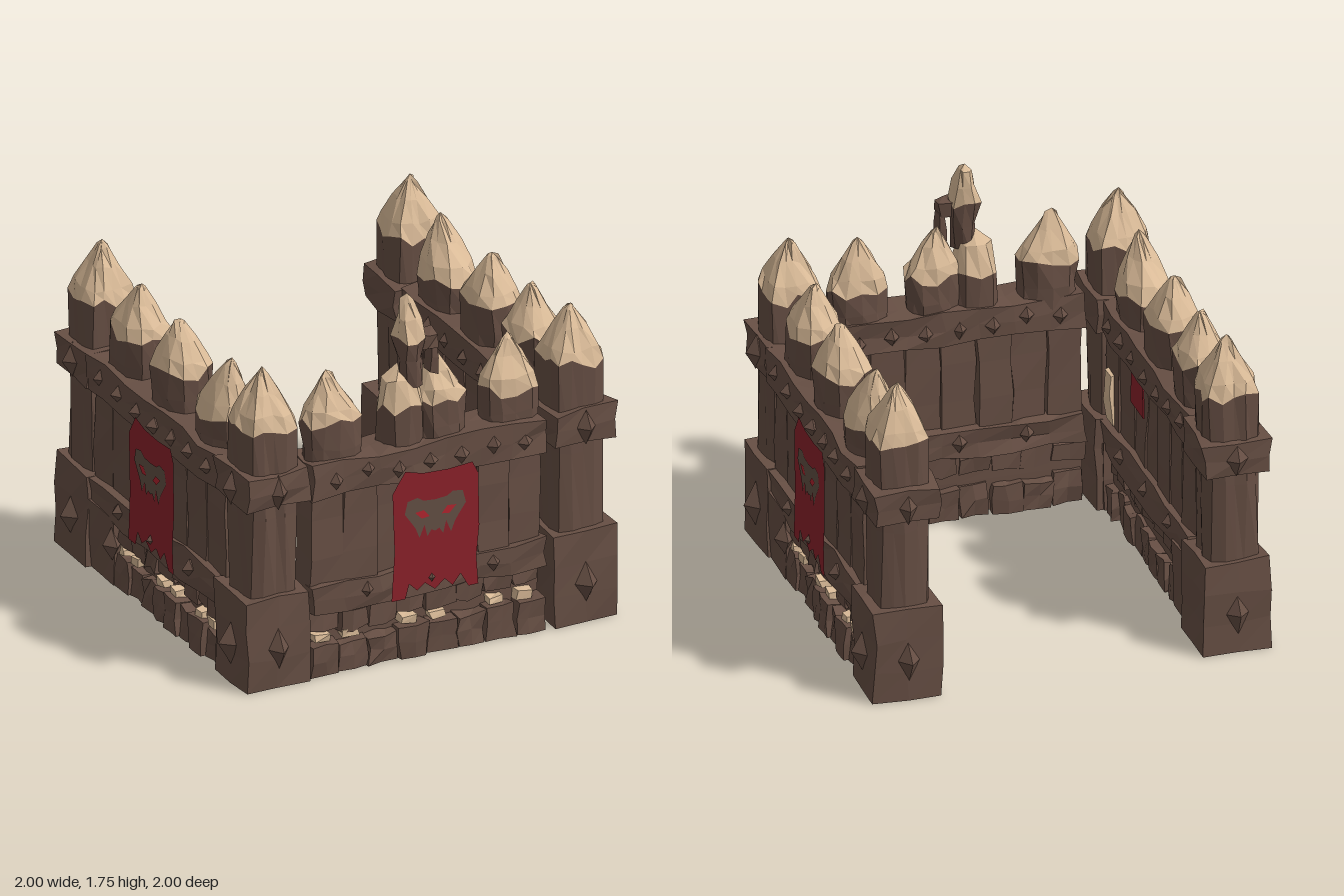
import * as THREE from 'three';

const mat = (name, color, side = THREE.FrontSide) => {
  const m = new THREE.MeshStandardMaterial({ color, side });
  m.name = name;
  return m;
};

// Repeatable noise in -1..1 that depends only on a position, so shared corners stay joined
const noise = (x, y, z, k) => {
  const r = (v) => Math.round(v * 500 + 0.137) / 10;
  const s = Math.sin(r(x) * 12.99 + r(y) * 78.23 + r(z) * 37.72 + k * 19.19) * 43758.5453;
  return (s - Math.floor(s)) * 2 - 1;
};

// Hand-hewn look: nudge every vertex, then split faces for flat facets
function hew(geo, amount) {
  const p = geo.attributes.position;
  for (let i = 0; i < p.count; i++) {
    const [x, y, z] = [p.getX(i), p.getY(i), p.getZ(i)];
    p.setXYZ(i, x + noise(x, y, z, 1) * amount,
      y < 0.001 ? 0 : y + noise(x, y, z, 2) * amount, z + noise(x, y, z, 3) * amount);
  }
  const flat = geo.index ? geo.toNonIndexed() : geo;
  flat.computeVertexNormals();
  return flat;
}

export function createModel() {
  const wood = mat('dark wood', 0x674f44);
  const pale = mat('pale cut wood', 0xdabb98);
  const cloth = mat('red cloth', 0x8a212a, THREE.DoubleSide);
  const emblem = mat('emblem brown', 0x624f43, THREE.DoubleSide);
  const eyeRed = mat('eye red', 0xb0242e, THREE.DoubleSide);
  const model = new THREE.Group();
  model.name = 'palisade';

  const add = (parent, name, geo, material) => {
    const mesh = new THREE.Mesh(geo, material);
    mesh.name = name;
    parent.add(mesh);
    return mesh;
  };

  // Rough block given by its limits
  function block(parent, name, [x0, x1], [y0, y1], [z0, z1], amount = 0.01, segs = [2, 2, 2], material = wood) {
    const geo = new THREE.BoxGeometry(x1 - x0, y1 - y0, z1 - z0, ...segs);
    geo.translate((x0 + x1) / 2, (y0 + y1) / 2, (z0 + z1) / 2);
    add(parent, name, hew(geo, amount), material);
  }

  // Four-sided stud, half buried in a face; axis is the way it points
  function stud(parent, x, y, z, w, h, d, axis = 'z') {
    const geo = new THREE.OctahedronGeometry(1);
    if (axis === 'x') geo.scale(d, h, w);
    else geo.scale(w, h, d);
    geo.translate(x, y, z);
    add(parent, 'stud', hew(geo, 0.004), wood);
  }

  // Ringed stack: profile of [height, radius], squared off by power
  function stack(parent, name, profile, o, material) {
    const geo = new THREE.LatheGeometry(profile.map(([y, r]) => new THREE.Vector2(r, y)), o.sides || 12);
    const p = geo.attributes.position;
    const pw = o.power || 2.6;
    for (let i = 0; i < p.count; i++) {
      const [x, z] = [p.getX(i), p.getZ(i)];
      let y = p.getY(i);
      const r = Math.hypot(x, z);
      // the tip has no radius, so it needs no squaring
      const k = r < 1e-5 ? 1 : 1 / (Math.abs(x / r) ** pw + Math.abs(z / r) ** pw) ** (1 / pw);
      const t = Math.max(0, (y - o.cut) / (o.top - o.cut));
      if (Math.abs(y - o.cut) < 1e-4) y += 0.03 * noise(x, 0, z, o.x * 7 + o.z);
      p.setXYZ(i, o.x + x * k * o.rx + (o.leanX || 0) * t, y, o.z + z * k * o.rz + (o.leanZ || 0) * t);
    }
    add(parent, name, hew(geo, 0.009), material);
  }

  // Log with a pale sharpened end
  function stake(parent, name, o) {
    const h = o.top - o.cut;
    const mid = (o.base + o.cut) / 2;
    stack(parent, name, [[o.base, 0.97], [mid, 0.98], [o.cut, 1]], o, wood);
    stack(parent, name + 'Point', [[o.cut, 1], [o.cut + h * 0.25, 0.86], [o.cut + h * 0.6, 0.5],
      [o.cut + h * 0.9, 0.17], [o.top, 0]], o, pale);
  }

  const shapeOf = (pts) => new THREE.Shape(pts.map(([x, y]) => new THREE.Vector2(x, y)));
  const mirrored = (pts) => [...pts, ...pts.slice().reverse().filter(([x]) => x > 0).map(([x, y]) => [-x, y])];

  // Torn banner with a tusked mask
  function banner(parent, x) {
    const g = new THREE.Group();
    g.name = 'banner';
    g.position.set(x, 0, 0.945);
    parent.add(g);
    const edge = [[-0.22, 0.31], [-0.15, 0.31], [-0.13, 0.38], [-0.09, 0.34], [-0.05, 0.37], [0, 0.33],
      [0.05, 0.37], [0.09, 0.33], [0.13, 0.38], [0.17, 0.31], [0.22, 0.31], [0.21, 0.45], [0.225, 0.6],
      [0.22, 0.86], [0.19, 0.92], [0.07, 0.91], [-0.06, 0.915], [-0.15, 0.94], [-0.19, 0.88],
      [-0.215, 0.84], [-0.205, 0.55]];
    add(g, 'bannerCloth', new THREE.ShapeGeometry(shapeOf(edge)), cloth);
    const mask = mirrored([[0, 0.775], [0.06, 0.78], [0.09, 0.80], [0.14, 0.79], [0.155, 0.73], [0.12, 0.68],
      [0.10, 0.65], [0.08, 0.60], [0.055, 0.66], [0.04, 0.60], [0.02, 0.63], [0, 0.62]]);
    add(g, 'mask', new THREE.ShapeGeometry(shapeOf(mask)), emblem).position.z = 0.004;
    for (const s of [-1, 1]) {
      const eye = shapeOf([[s * 0.03, 0.70], [s * 0.07, 0.695], [s * 0.105, 0.73], [s * 0.06, 0.735]]);
      add(g, 'eye', new THREE.ShapeGeometry(eye), eyeRed).position.z = 0.008;
    }
  }

  // One wall, running along x and facing +z
  function wall(name, x0, x1, zin, recess0, recess1, turn) {
    const g = new THREE.Group();
    g.name = name;
    g.rotation.y = turn;
    model.add(g);
    const len = x1 - x0;
    block(g, 'topBeam', [x0, x1], [0.89, 1.05], [zin, 0.93], 0.014, [7, 2, 2]);
    block(g, 'lowerBeam', [x0, x1], [0.31, 0.45], [zin, 0.925], 0.014, [7, 2, 2]);
    // upright planks of uneven depth
    for (let i = 0; i < 7; i++) {
      const a = x0 + (len * i) / 7, d = noise(i, x0, 2, 5) * 0.014;
      block(g, 'plank', [a + 0.003, a + len / 7 - 0.003], [0.4, 0.95], [zin + 0.035 + d, 0.9 + d], 0.009, [1, 3, 1]);
    }
    // footing of broken logs between solid ends
    block(g, 'footingCore', [x0, x1], [0.01, 0.33], [zin + 0.05, 0.85], 0.005);
    if (recess0 > x0) block(g, 'footingEnd', [x0, recess0], [0, 0.33], [zin, 0.925]);
    if (recess1 < x1) block(g, 'footingEnd', [recess1, x1], [0, 0.33], [zin, 0.925]);
    const n = 8, w = (recess1 - recess0) / n;
    for (let i = 0; i < n; i++) {
      const a = recess0 + w * i, d = noise(i, x0, 4, 6) * 0.015;
      block(g, 'lowLog', [a + 0.004, a + w - 0.004], [0, 0.15 + d], [zin + 0.015 + d, 0.915 + d], 0.012);
      block(g, 'upperLog', [a + 0.004, a + w - 0.004], [0.21 + d, 0.3], [zin + 0.03 - d, 0.89 - d], 0.012, [2, 1, 2]);
      if (i % 3 !== 2) block(g, 'paleSplinter', [a + 0.02, a + w * 0.65], [0.165, 0.2], [0.84, 0.905], 0.008, [1, 1, 1], pale);
    }
    // small studs on both faces of the beams
    for (let i = 0; i < 7; i++) {
      const x = x0 + len * (0.1 + i * 0.135), y = 0.97 + noise(i, 3, x0, 8) * 0.02;
      stud(g, x, y, 0.93, 0.036, 0.045, 0.04);
      stud(g, x, y, zin, 0.036, 0.045, 0.035);
      if (i % 2) {
        stud(g, x, 0.39, 0.925, 0.036, 0.045, 0.04);
        stud(g, x, 0.39, zin, 0.036, 0.045, 0.035);
      }
    }
    banner(g, 0.01);
    return g;
  }

  // Front wall with a splintered tall log in the middle
  const front = wall('frontWall', -0.6, 0.58, 0.71, -0.6, 0.58, 0);
  const slim = { z: 0.81, rz: 0.095, base: 0.98 };
  stake(front, 'stake', { ...slim, x: -0.45, rx: 0.14, cut: 1.22, top: 1.46, leanX: -0.02 });
  stake(front, 'stake', { ...slim, x: 0.095, rx: 0.12, cut: 1.22, top: 1.45, leanX: -0.02 });
  stake(front, 'stake', { ...slim, x: 0.45, rx: 0.14, cut: 1.2, top: 1.45 });
  const broken = { ...slim, x: -0.1, rx: 0.105, cut: 1.22, top: 1.42, sides: 10 };
  stack(front, 'brokenStake', [[0.98, 1], [1.22, 1]], broken, wood);
  stack(front, 'brokenStakeCut', [[1.22, 1], [1.35, 0.72], [1.42, 0]], broken, pale);
  const neck = { x: -0.06, z: 0.83, rx: 0.065, rz: 0.08, cut: 1.55, top: 1.75, sides: 9, leanX: 0.01, leanZ: -0.04 };
  stack(front, 'brokenNeck', [[1.32, 0.8], [1.45, 0.85], [1.55, 1.05]], neck, wood);
  stack(front, 'brokenPoint', [[1.55, 1.05], [1.64, 0.8], [1.72, 0.42], [1.75, 0]], neck, pale);
  block(front, 'splinterTop', [-0.04, 0.06], [1.48, 1.56], [0.8, 0.88], 0.012, [2, 1, 1]);
  block(front, 'splinterSide', [0.03, 0.065], [1.36, 1.5], [0.81, 0.87], 0.008, [1, 2, 1]);

  // Side walls are one design turned to face each way
  for (const s of [1, -1]) {
    const side = wall(s > 0 ? 'leftWall' : 'rightWall', -0.64, 0.64, 0.65, -0.4, 0.6, s * Math.PI / 2);
    const fat = { z: 0.785, rx: 0.152, rz: 0.12, base: 0.98 };
    stake(side, 'stake', { ...fat, x: -0.41, cut: 1.23, top: 1.47, leanX: 0.01 });
    stake(side, 'stake', { ...fat, x: 0, cut: 1.23, top: 1.46, leanX: -0.01 });
    stake(side, 'stake', { ...fat, x: 0.42, rx: 0.165, cut: 1.18, top: 1.45, leanX: 0.06 });
    stud(side, -0.41, 0.2, 0.925, 0.05, 0.08, 0.05);
    if (s < 0) {
      block(side, 'splitPlank', [0.52, 0.6], [0.47, 0.72], [0.66, 0.69], 0.012, [1, 3, 1], pale);
      block(side, 'bannerScrap', [0.06, 0.24], [0.72, 0.88], [0.659, 0.667], 0.003, [1, 1, 1], cloth);
    } else {
      block(side, 'splitPlank', [0.54, 0.6], [0.76, 0.86], [0.66, 0.69], 0.01, [1, 1, 1], pale);
    }
  }

  // Corner posts with studded base and collar
  for (const sx of [1, -1]) for (const sz of [1, -1]) {
    const post = new THREE.Group();
    post.name = 'cornerPost';
    model.add(post);
    const x = sx * 0.78, z = sz * 0.78;
    const around = (c, r) => [c - r, c + r];
    block(post, 'postBase', around(x, 0.158), [0, 0.45], around(z, 0.158), 0.01, [2, 3, 2]);
    block(post, 'postCollar', around(x, 0.158), [0.89, 1.05], around(z, 0.158), 0.012);
    stake(post, 'post', { x, z, rx: 0.13, rz: 0.13, base: 0.4, cut: 1.26, top: 1.52, power: 5, sides: 16 });
    stud(post, x + sx * 0.155, 0.2, z, 0.06, 0.11, 0.065, 'x');
    stud(post, x, 0.2, z + sz * 0.155, 0.06, 0.11, 0.065);
    stud(post, x + sx * 0.155, 0.965, z, 0.05, 0.085, 0.05, 'x');
    stud(post, x, 0.965, z + sz * 0.155, 0.05, 0.085, 0.05);
  }
  return model;
}
